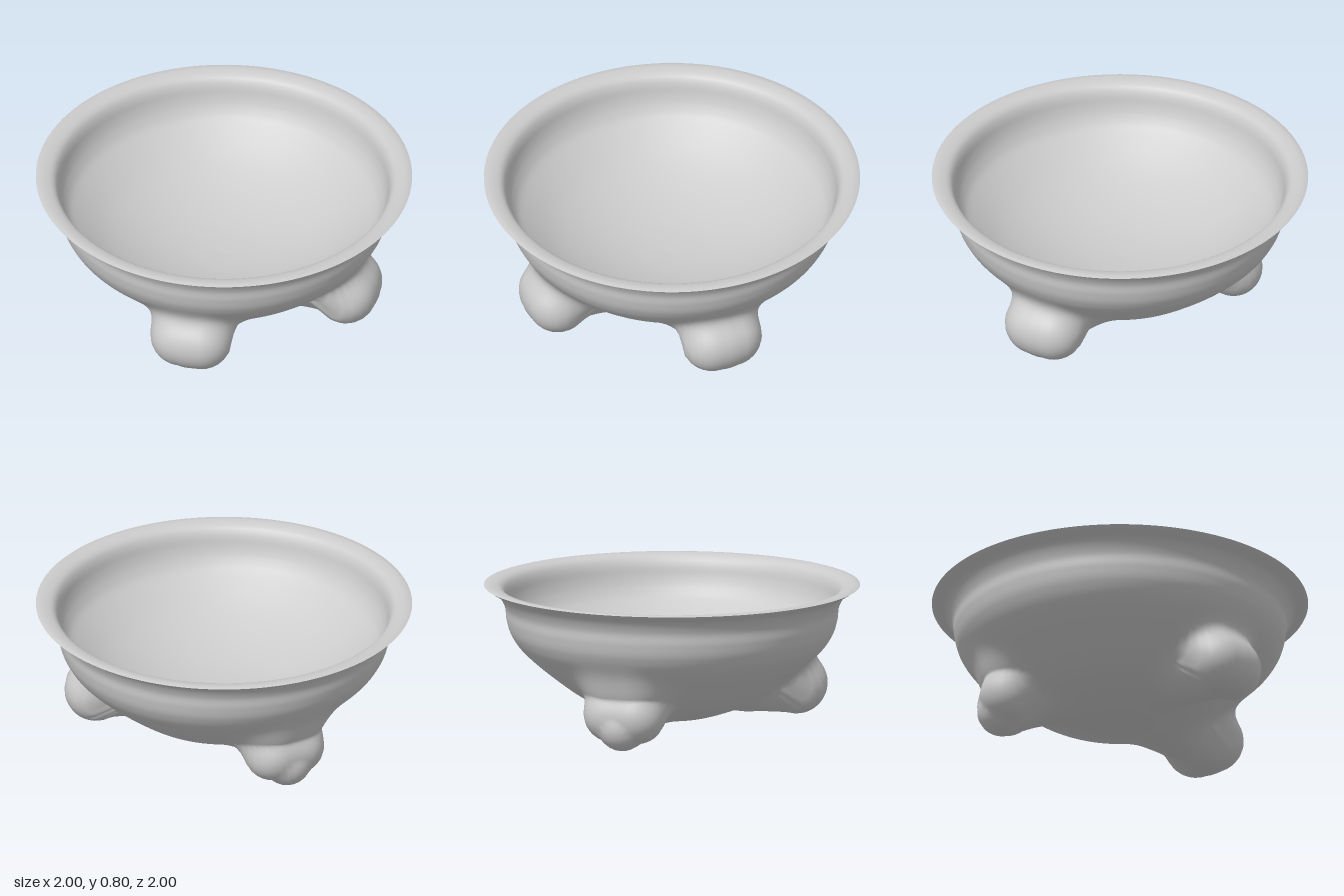
import * as THREE from 'three';
import { mergeVertices } from 'three/addons/utils/BufferGeometryUtils.js';

const SEGMENTS = 160;
const BLEND = 0.13;
const CENTRE = new THREE.Vector3(0, 0.62, 0);

// Each foot is a few overlapping capsules: ends a and b, radius r
const capsule = (a, b, r) => ({ line: new THREE.Line3(new THREE.Vector3(...a), new THREE.Vector3(...b)), r });
// Front foot: an arm out of the bowl and a broad toe across its end
const frontFoot = (side, y) => [
  capsule([side * 0.32, 0.265, 0.33], [side * 0.48, y, 0.5], 0.17),
  capsule([side * 0.515, y, 0.46], [side * 0.44, y, 0.54], 0.167),
];
// Back foot: a ramp to the tip, a broad toe and a shoulder above it
const backFoot = [
  capsule([0, 0.26, -0.32], [0, 0.14, -0.63], 0.133),
  capsule([-0.07, 0.2, -0.6], [0.07, 0.2, -0.6], 0.155),
  capsule([-0.05, 0.36, -0.56], [0.05, 0.36, -0.56], 0.18),
];
const FEET = [frontFoot(-1, 0.24), frontFoot(1, 0.227), backFoot];

const smoothMin = (a, b) => {
  const h = Math.max(BLEND - Math.abs(a - b), 0) / BLEND;
  return Math.min(a, b) - h * h * BLEND * 0.25;
};

// Smooth lathe without a seam, so normals stay continuous
function lathe(points, count) {
  const curve = new THREE.SplineCurve(points.map(([x, y]) => new THREE.Vector2(x, y)));
  const profile = curve.getSpacedPoints(count);
  profile.forEach(p => { p.x = Math.max(p.x, 0); });
  const geometry = new THREE.LatheGeometry(profile, SEGMENTS);
  geometry.deleteAttribute('uv');
  geometry.deleteAttribute('normal');
  return mergeVertices(geometry, 1e-5);
}

// Push the lower wall outwards along rays from the centre to melt the feet into it
function growFeet(geometry) {
  const pos = geometry.attributes.position;
  const p = new THREE.Vector3(), dir = new THREE.Vector3(), q = new THREE.Vector3(), near = new THREE.Vector3();
  const toCapsule = ({ line, r }) => line.closestPointToPoint(q, true, near).distanceTo(q) - r;
  for (let i = 0; i < pos.count; i++) {
    p.fromBufferAttribute(pos, i);
    if (p.y > 0.58) continue;
    dir.subVectors(p, CENTRE);
    const wall = dir.length();
    dir.normalize();
    const field = t => {
      q.copy(CENTRE).addScaledVector(dir, t);
      return FEET.reduce((d, foot) => smoothMin(d, Math.min(...foot.map(toCapsule))), t - wall);
    };
    // Walk inwards to the surface, then refine by halving
    let hi = wall + 0.45;
    while (hi > wall && field(hi) > 0) hi -= 0.01;
    let lo = hi;
    hi += 0.01;
    for (let n = 0; n < 12; n++) {
      const mid = (lo + hi) / 2;
      if (field(mid) > 0) hi = mid; else lo = mid;
    }
    q.copy(CENTRE).addScaledVector(dir, Math.max(wall, lo));
    pos.setXYZ(i, q.x, q.y, q.z);
  }
}

export function createModel() {
  const group = new THREE.Group();
  group.name = 'footedBowl';
  const material = new THREE.MeshStandardMaterial({ color: 0xcccccc, side: THREE.DoubleSide });
  const add = (name, geometry) => {
    geometry.computeVertexNormals();
    const mesh = new THREE.Mesh(geometry, material);
    mesh.name = name;
    group.add(mesh);
  };

  // Outer wall with three feet, from the underside up to the flared rim
  const outer = lathe([
    [0, 0.07], [0.22, 0.105], [0.45, 0.19], [0.64, 0.32], [0.79, 0.45], [0.855, 0.54],
    [0.88, 0.62], [0.889, 0.69], [0.925, 0.755], [0.975, 0.787], [1, 0.803],
  ], 130);
  growFeet(outer);
  add('outerWallWithFeet', outer);

  // Inner basin, from the flat lip down to the shallow floor
  add('innerBasin', lathe([
    [1, 0.803], [0.985, 0.808], [0.945, 0.805], [0.905, 0.79], [0.882, 0.75], [0.868, 0.69], [0.843, 0.63],
    [0.79, 0.568], [0.62, 0.45], [0.42, 0.363], [0.21, 0.313], [0, 0.297],
  ], 70));

  return group;
}
